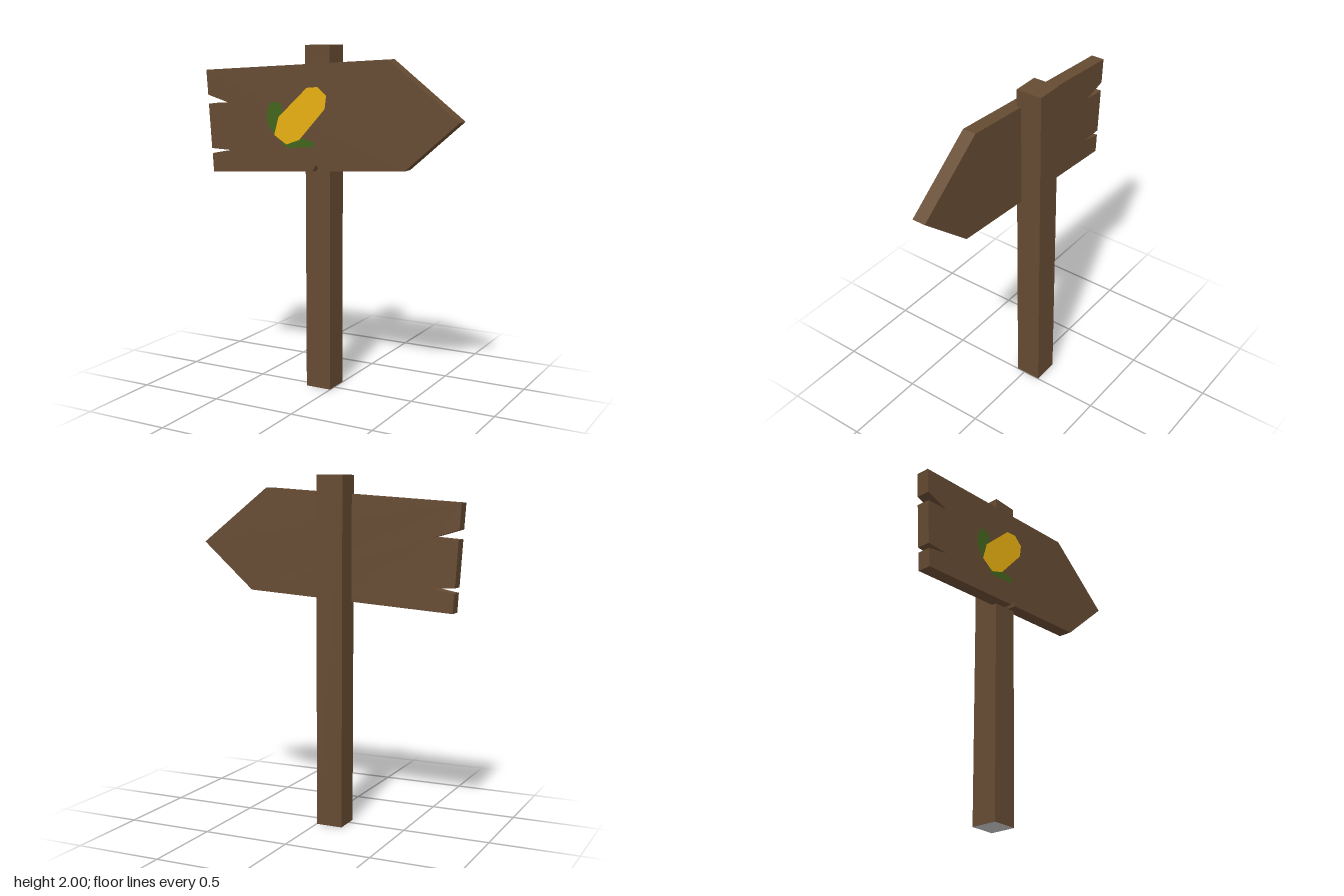
import * as THREE from 'three';

const paint = (color) => new THREE.MeshStandardMaterial({ color });
const outline = (pts) => new THREE.Shape(pts.map(([x, y]) => new THREE.Vector2(x, y)));

export function createModel() {
  const group = new THREE.Group();
  const wood = paint(0x664b32);
  const grey = paint(0xcccccc);
  const add = (name, geometry, material) => {
    const mesh = new THREE.Mesh(geometry, material);
    mesh.name = name;
    group.add(mesh);
    return mesh;
  };

  // Square post with a bare underside
  const post = add('post', new THREE.BoxGeometry(0.157, 2, 0.157),
    [wood, wood, wood, grey, wood, wood]);
  post.position.set(-0.08, 1, -0.027);

  // Tilted arrow board with split end and a small nick in the lower edge
  const board = outline([
    [-0.8, 1.85], [-0.79, 1.705], [-0.645, 1.663], [-0.787, 1.652],
    [-0.77, 1.39], [-0.63, 1.386], [-0.767, 1.36], [-0.76, 1.25],
    [-0.085, 1.295], [-0.065, 1.33], [-0.055, 1.33], [-0.05, 1.298],
    [0.485, 1.333], [0.8, 1.61], [0.383, 1.93],
  ]);
  const boardMesh = add('arrowBoard',
    new THREE.ExtrudeGeometry(board, { depth: 0.08, bevelEnabled: false }), wood);
  boardMesh.position.z = 0.022;

  // Flat painted corn cob and its husk leaves
  const decal = (name, pts, color, z) => {
    add(name, new THREE.ShapeGeometry(outline(pts)), paint(color)).position.z = z;
  };
  decal('cornCob', [
    [-0.12, 1.765], [-0.305, 1.595], [-0.335, 1.49], [-0.255, 1.44],
    [-0.17, 1.47], [-0.005, 1.65], [0.005, 1.725], [-0.05, 1.772],
  ], 0xe8b010, 0.105);
  decal('upperLeaf', [
    [-0.29, 1.675], [-0.355, 1.68], [-0.385, 1.62], [-0.38, 1.555],
    [-0.335, 1.49], [-0.27, 1.58],
  ], 0x42651c, 0.1035);
  decal('lowerLeaf', [
    [-0.29, 1.45], [-0.25, 1.42], [-0.075, 1.435], [-0.08, 1.465],
    [-0.16, 1.48], [-0.25, 1.48],
  ], 0x42651c, 0.1035);

  return group;
}
